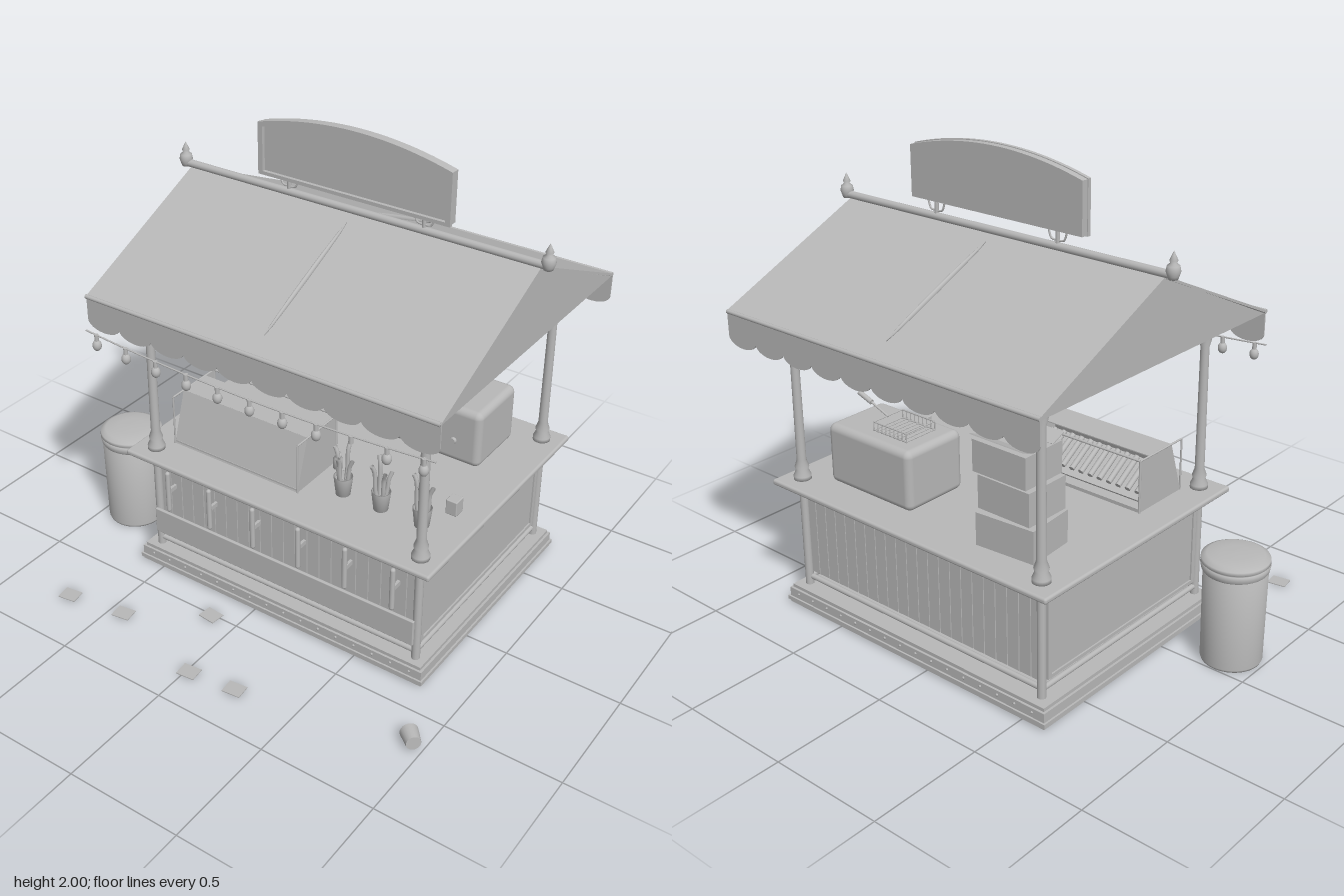
import * as THREE from 'three';
import { RoundedBoxGeometry } from 'three/addons/geometries/RoundedBoxGeometry.js';

const grey = new THREE.MeshStandardMaterial({ color: 0xb8b8b8 });
grey.name = 'plain grey';
const sheetGrey = grey; // one colour throughout
sheetGrey.side = THREE.DoubleSide;
const V = (x, y, z) => new THREE.Vector3(x, y, z);
const CX = 0.105, RIDGE_Z = -0.185;

export function createModel() {
  const root = new THREE.Group();
  root.name = 'marketStall';
  const add = (name, geo, x = 0, y = 0, z = 0, parent = root) => {
    const m = new THREE.Mesh(geo, grey);
    m.name = name;
    m.position.set(x, y, z);
    parent.add(m);
    return m;
  };
  // box given by its limits on each axis
  const box = (name, x0, x1, y0, y1, z0, z1, r = 0) => {
    const s = [x1 - x0, y1 - y0, z1 - z0];
    const g = r ? new RoundedBoxGeometry(...s, 4, r) : new THREE.BoxGeometry(...s);
    return add(name, g, (x0 + x1) / 2, (y0 + y1) / 2, (z0 + z1) / 2);
  };
  const rod = (name, a, b, r, r2 = r, seg = 12) => {
    const d = b.clone().sub(a);
    const m = add(name, new THREE.CylinderGeometry(r2, r, d.length(), seg));
    m.position.copy(a).addScaledVector(d, 0.5);
    m.quaternion.setFromUnitVectors(V(0, 1, 0), d.normalize());
    return m;
  };
  const lathe = (name, pts, x, y, z, seg = 24) =>
    add(name, new THREE.LatheGeometry(pts.map(p => new THREE.Vector2(...p)), seg), x, y, z);
  const tube = (name, pts, r, seg = 16) =>
    add(name, new THREE.TubeGeometry(new THREE.CatmullRomCurve3(pts), seg, r, 8));

  // Base plinth with rivets
  box('basePlinth', -0.61, 0.815, 0, 0.07, -0.74, 0.37);
  box('baseDeck', -0.6, 0.805, 0.07, 0.085, -0.73, 0.36);
  box('baseTrim', -0.618, 0.823, 0.012, 0.03, -0.748, 0.378);
  for (let i = 0; i < 16; i++)
    for (const z of [0.37, -0.74]) add('baseRivet', new THREE.SphereGeometry(0.006, 8, 6), -0.55 + i * 0.0873, 0.052, z);

  // Counter: planks front and back, framed side panels, rails
  const N = 22, x0 = -0.545, pitch = 1.3 / N;
  for (let i = 0; i < N; i++) {
    const x = x0 + i * pitch;
    box('frontPlank', x + 0.002, x + pitch - 0.002, 0.145, 0.535, 0.29, 0.305);
    box('backPlank', x + 0.002, x + pitch - 0.002, 0.145, 0.535, -0.67, -0.655);
  }
  box('frontBacking', x0, 0.755, 0.15, 0.53, 0.284, 0.289);
  box('backBacking', x0, 0.755, 0.15, 0.53, -0.654, -0.649);
  for (const z of [0.317, -0.672]) {
    for (const [y, r] of [[0.54, 0.012], [0.12, 0.012]]) rod('counterRail', V(x0, y, z), V(0.755, y, z), r);
  }
  for (const [x, s] of [[-0.545, -1], [0.755, 1]]) {
    rod('sideRail', V(x, 0.12, 0.317), V(x, 0.12, -0.672), 0.012);
    rod('sideRail', V(x, 0.543, 0.317), V(x, 0.543, -0.672), 0.01);
    const px = x - s * 0.005;
    box('sidePanel', px - 0.008, px + 0.008, 0.15, 0.52, -0.65, 0.295);
    for (const y of [0.15, 0.505]) box('panelFrame', px - 0.015, px + 0.015, y, y + 0.015, -0.65, 0.295);
    for (const z of [-0.65, 0.275]) box('panelFrame', px - 0.015, px + 0.015, 0.15, 0.52, z, z + 0.02);
  }
  box('frontBoard', -0.55, 0.755, 0.16, 0.28, 0.33, 0.345, 0.004);
  for (const x of [-0.46, -0.24, -0.015, 0.212, 0.438, 0.66]) {
    add('frontBaton', new THREE.CapsuleGeometry(0.011, 0.18, 6, 12), x, 0.41, 0.355);
    box('batonMount', x - 0.006, x + 0.006, 0.4, 0.42, 0.3, 0.355);
  }
  box('counterTop', -0.64, 0.845, 0.558, 0.583, -0.767, 0.405, 0.01);

  // Posts
  for (const x of [-0.545, 0.757]) for (const z of [0.317, -0.677]) {
    rod('lowerPost', V(x, 0.08, z), V(x, 0.56, z), 0.018);
    lathe('upperPost', [[0, 0], [0.037, 0], [0.037, 0.02], [0.026, 0.045], [0.03, 0.06], [0.02, 0.09],
      [0.018, 0.62], [0.026, 0.65], [0.02, 0.67], [0.028, 0.7], [0.028, 0.78], [0, 0.78]], x, 0.58, z);
  }

  // Roof sheets, eave rods, scalloped valances and centre battens
  const X0 = -0.705, X1 = 0.91, W = X1 - X0;
  for (const s of [1, -1]) {
    const zAt = d => RIDGE_Z + s * d;
    const slope = add('roofSheet', new THREE.BoxGeometry(W, 0.01, 0.755), CX, 1.49, zAt(0.342));
    slope.rotation.x = s * Math.atan2(0.315, 0.685);
    rod('eaveRod', V(X0, 1.335, zAt(0.682)), V(X1, 1.335, zAt(0.682)), 0.009);
    const batten = add('roofBatten', new THREE.SphereGeometry(1, 12, 24), CX, 1.507, zAt(0.325));
    batten.scale.set(0.009, 0.012, 0.3);
    batten.rotation.x = slope.rotation.x;

    const shape = new THREE.Shape(), n = 10, w = W / n;
    shape.moveTo(-W / 2, 0);
    shape.lineTo(-W / 2, -0.1);
    for (let i = 0; i < n; i++) {
      const c = -W / 2 + (i + 0.5) * w;
      for (let k = 1; k <= 12; k++) {
        const a = Math.PI * k / 12;
        shape.lineTo(c - Math.cos(a) * w / 2, -0.1 - Math.sin(a) * 0.04);
      }
    }
    shape.lineTo(W / 2, 0);
    const g = new THREE.ExtrudeGeometry(shape, { depth: 0.006, bevelEnabled: false });
    add('valance', g, CX, 1.335, zAt(0.68) - 0.003);
  }
  const gable = new THREE.Shape([[-0.68, 1.325], [0.68, 1.325], [0, 1.645]].map(p => new THREE.Vector2(...p)));
  for (const x of [X0 + 0.008, X1 - 0.008]) {
    const m = add('gable', new THREE.ExtrudeGeometry(gable, { depth: 0.004, bevelEnabled: false }), x, 0, RIDGE_Z);
    m.rotation.y = Math.PI / 2;
  }
  rod('ridgePole', V(-0.73, 1.662, RIDGE_Z), V(0.935, 1.662, RIDGE_Z), 0.016);
  for (const x of [-0.733, 0.938])
    lathe('finial', [[0, 0], [0.018, 0], [0.022, 0.012], [0.028, 0.03], [0.024, 0.05], [0.012, 0.06],
      [0.016, 0.07], [0.008, 0.088], [0, 0.105]], x, 1.648, RIDGE_Z);

  // Arched sign board with raised border and scroll brackets
  const arch = (C, hw, lo, side, top) => {
    const p = new C();
    p.moveTo(-hw, lo); p.lineTo(hw, lo); p.lineTo(hw, side);
    p.quadraticCurveTo(0, 2 * top - side, -hw, side);
    p.closePath();
    return p;
  };
  const ex = (s, d) => new THREE.ExtrudeGeometry(s, { depth: d, bevelEnabled: false, curveSegments: 24 });
  add('signBoard', ex(arch(THREE.Shape, 0.437, 1.724, 1.935, 1.997), 0.03), CX, 0, -0.197);
  const border = arch(THREE.Shape, 0.44, 1.72, 1.938, 2);
  border.holes.push(arch(THREE.Path, 0.418, 1.735, 1.922, 1.984));
  add('signBorder', ex(border, 0.016), CX, 0, -0.168);
  for (const s of [-1, 1]) {
    const x = CX + s * 0.312;
    rod('signPost', V(x, 1.66, RIDGE_Z), V(x, 1.74, RIDGE_Z), 0.009);
    for (const k of [-1, 1]) tube('signScroll', [V(x, 1.685, RIDGE_Z), V(x + k * 0.03, 1.69, RIDGE_Z), V(x + k * 0.045, 1.725, RIDGE_Z)], 0.004);
  }

  // String of bulbs; one bulb is missing
  const sag = x => 1.153 + 0.035 * ((x - CX) / 0.8) ** 2;
  tube('lightCord', Array.from({ length: 13 }, (_, i) => { const x = X0 + W * i / 12; return V(x, sag(x), 0.512); }), 0.0035, 48);
  for (let i = 0; i < 11; i++) {
    const x = CX + (i - 5) * 0.1513, y = sag(x);
    rod('bulbSocket', V(x, y - 0.03, 0.512), V(x, y + 0.002, 0.512), 0.009);
    if (i !== 8) add('bulb', new THREE.SphereGeometry(0.019, 16, 12), x, y - 0.047, 0.512).scale.y = 1.25;
  }

  // Display case: slanted front, open back, thin frame and a tray of snacks
  const xa = -0.5, xb = 0.135;
  const wall = new THREE.Shape([[0.03, 0.585], [-0.245, 0.585], [-0.175, 0.812], [0.03, 0.812]].map(p => new THREE.Vector2(...p)));
  for (const x of [xa, xb - 0.004]) add('caseSide', ex(wall, 0.004), x, 0, 0).rotation.y = Math.PI / 2;
  add('caseFront', new THREE.BoxGeometry(xb - xa, 0.238, 0.004), (xa + xb) / 2, 0.699, 0.21).rotation.x = -0.3;
  box('caseTop', xa, xb, 0.809, 0.813, 0.03, 0.175);
  box('caseFloor', xa, xb, 0.585, 0.6, -0.03, 0.245);
  for (const x of [xa, xb]) {
    rod('caseFrame', V(x, 0.585, -0.03), V(x, 0.812, -0.03), 0.005);
    rod('caseFrame', V(x, 0.585, 0.246), V(x, 0.812, 0.246), 0.004);
    rod('caseFrame', V(x, 0.812, -0.03), V(x, 0.812, 0.246), 0.004);
  }
  rod('caseFrame', V(xa, 0.812, -0.03), V(xb, 0.812, -0.03), 0.005);
  add('caseTray', new THREE.BoxGeometry(0.61, 0.008, 0.2), -0.183, 0.66, 0.09).rotation.x = -0.45;
  for (let i = 0; i < 12; i++) rod('traySnack', V(-0.45 + i * 0.048, 0.64, 0.02), V(-0.44 + i * 0.048, 0.715, 0.16), 0.012);

  // Cooker with knobs, wire basket and handle
  box('cooker', 0.185, 0.65, 0.583, 0.845, -0.62, -0.312, 0.03);
  for (const x of [0.3, 0.39, 0.53]) rod('cookerKnob', V(x, 0.688, -0.32), V(x, 0.688, -0.298), 0.015);
  const bx = [0.262, 0.445], bz = [-0.55, -0.39];
  for (let i = 0; i <= 8; i++) {
    const x = bx[0] + (bx[1] - bx[0]) * i / 8;
    for (const z of bz) rod('basketWire', V(x, 0.84, z), V(x, 0.885, z), 0.0025, 0.0025, 6);
    rod('basketWire', V(x, 0.85, bz[0]), V(x, 0.85, bz[1]), 0.0025, 0.0025, 6);
  }
  for (const y of [0.85, 0.885]) {
    for (const z of bz) rod('basketRim', V(bx[0], y, z), V(bx[1], y, z), 0.003, 0.003, 6);
    for (const x of bx) rod('basketRim', V(x, y, bz[0]), V(x, y, bz[1]), 0.003, 0.003, 6);
  }
  rod('basketHandle', V(0.445, 0.882, -0.47), V(0.55, 0.922, -0.47), 0.005);
  rod('basketGrip', V(0.54, 0.918, -0.47), V(0.61, 0.943, -0.47), 0.011);

  // Stacked cartons, the top one open
  box('carton', -0.44, -0.17, 0.583, 0.722, -0.62, -0.4).rotation.y = 0.08;
  box('carton', -0.42, -0.165, 0.724, 0.864, -0.6, -0.39);
  box('carton', -0.4, -0.135, 0.867, 1.0, -0.595, -0.387);
  for (const s of [-1, 1]) add('cartonFlap', new THREE.BoxGeometry(0.26, 0.004, 0.07), -0.267, 1.013, -0.491 + s * 0.085).rotation.x = -s * 0.4;
  box('cartonTape', -0.137, -0.13, 0.89, 0.95, -0.48, -0.46);

  // Cups of curved fried sticks
  for (const [c, x] of [0.285, 0.465, 0.655].entries()) {
    lathe('stickCup', [[0, 0], [0.03, 0], [0.04, 0.085], [0.036, 0.085], [0.027, 0.006], [0, 0.006]], x, 0.583, 0.14);
    for (let k = 0; k < 4; k++) {
      const a = k * 1.6 + c * 0.7, dx = Math.cos(a), dz = Math.sin(a), h = 0.17 + 0.02 * ((k + c) % 4);
      const p = (r, y) => V(x + dx * r, 0.583 + y, 0.14 + dz * r);
      tube('friedStick', [p(0.008, 0.01), p(0.024, 0.09), p(0.03, h - 0.03), p(0.042, h)], 0.009);
    }
  }
  lathe('sauceJar', [[0, 0], [0.02, 0], [0.02, 0.045], [0.013, 0.052], [0.015, 0.056], [0.015, 0.07], [0, 0.072]], 0.165, 0.583, 0.0);
  box('napkinBox', 0.69, 0.74, 0.583, 0.65, -0.035, 0.02, 0.004);

  // Waste bin
  lathe('binBody', [[0, 0], [0.122, 0], [0.126, 0.01], [0.13, 0.41], [0, 0.41]], -0.863, 0, 0.125, 40);
  lathe('binLid', [[0.128, 0.4], [0.135, 0.41], [0.139, 0.43], [0.13, 0.434], [0.13, 0.44], [0.139, 0.444],
    [0.137, 0.458], [0.115, 0.469], [0.06, 0.474], [0, 0.475]], -0.861, 0, 0.125, 40);

  // Litter: dropped cup and paper scraps
  rod('droppedCup', V(0.922, 0.035, 0.632), V(0.972, 0.038, 0.68), 0.037, 0.03, 20);
  for (const [x, z, r] of [[-0.7, 0.75, 0.15], [-0.435, 0.71, 0.15], [0.015, 0.83, 0.1], [0.225, 0.805, 0.1], [-0.125, 0.51, -0.1]])
    add('paperScrap', new THREE.BoxGeometry(0.08, 0.004, 0.065), x, 0.003, z).rotation.y = r;

  return root;
}
